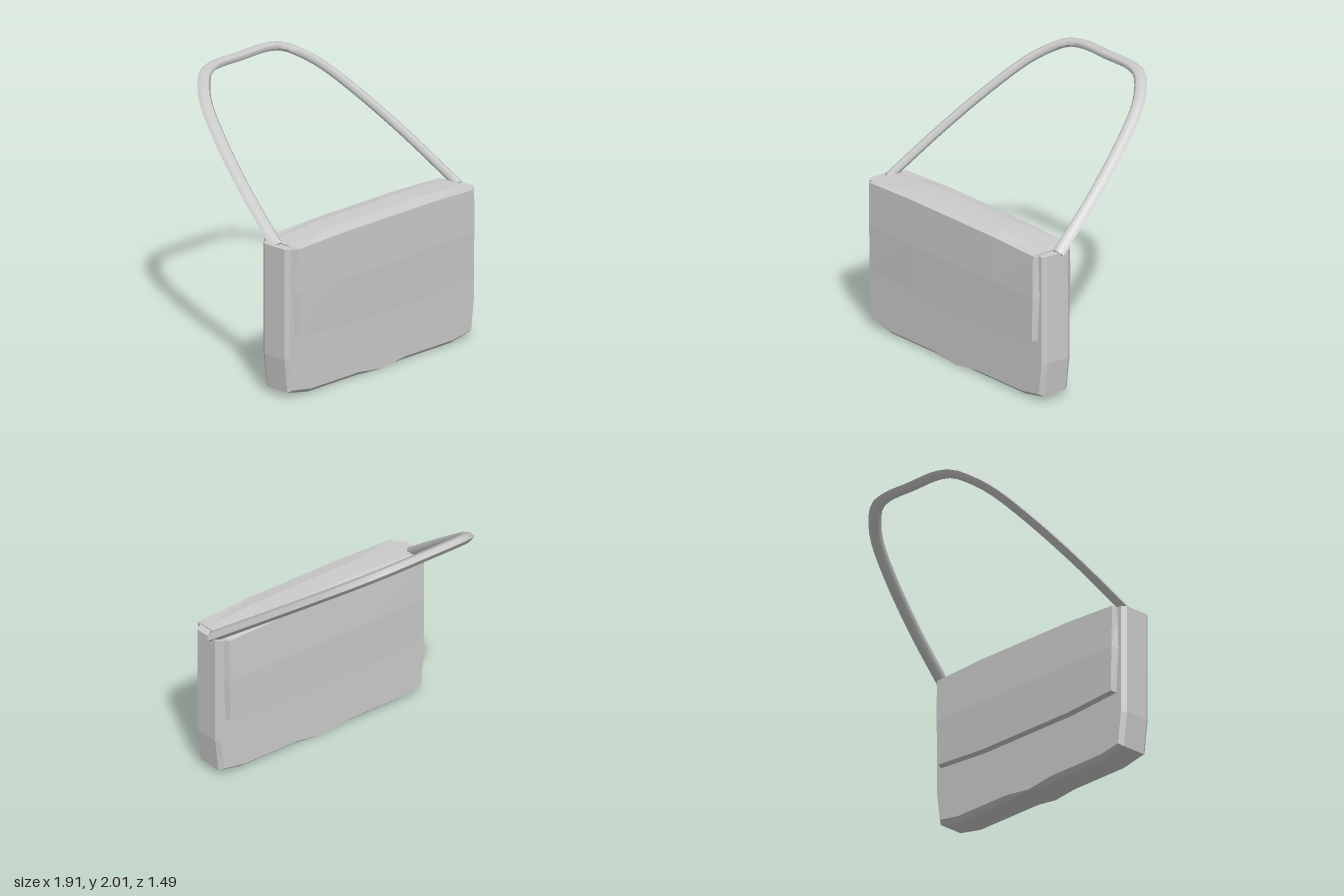
import * as THREE from 'three';
import { toCreasedNormals } from 'three/addons/utils/BufferGeometryUtils.js';

// Skins a row of equal closed rings and caps both ends; each cap zigzags between
// corner i and corner n-1-i, which suits mirrored outlines and U shapes alike.
function loft(rings) {
  const tris = [];
  const n = rings[0].length;
  const quad = (a, b, c, d) => tris.push(a, b, c, a, c, d);
  for (let k = 0; k < rings.length - 1; k++) {
    for (let i = 0; i < n; i++) {
      const j = (i + 1) % n;
      quad(rings[k][i], rings[k][j], rings[k + 1][j], rings[k + 1][i]);
    }
  }
  const first = rings[0], last = rings[rings.length - 1];
  for (let i = 0; i + 1 <= n - 2 - i; i++) {
    const m = n - 1 - i;
    quad(first[m], first[m - 1], first[i + 1], first[i]);
    quad(last[i], last[i + 1], last[m - 1], last[m]);
  }
  if (n % 2) {
    const h = (n - 1) / 2;
    tris.push(first[h + 1], first[h], first[h - 1], last[h - 1], last[h], last[h + 1]);
  }
  // Turn the faces outward if the enclosed volume comes out negative
  let volume = 0;
  for (let i = 0; i < tris.length; i += 3) {
    volume += tris[i].dot(new THREE.Vector3().crossVectors(tris[i + 1], tris[i + 2]));
  }
  if (volume < 0) tris.reverse();
  const geometry = new THREE.BufferGeometry().setFromPoints(tris);
  geometry.computeVertexNormals();
  return geometry;
}

// Bag body: mirrored outline stacked along z, with a bevelled rim front and back
function bodyGeometry() {
  const outer = [[0.945, 1.115], [0.945, 0.3], [0.915, 0.045], [0.715, 0.005], [0.23, 0.005], [0, 0.005]];
  const rim = [[0.92, 1.115], [0.92, 0.3], [0.89, 0.065], [0.71, 0.035], [0.23, 0.035], [0, 0.005]];
  const ring = (half, z) => [
    ...half.map(([x, y]) => new THREE.Vector3(-x, y, z)),
    ...half.slice(0, -1).reverse().map(([x, y]) => new THREE.Vector3(x, y, z)),
  ];
  return loft([ring(rim, 0.43), ring(outer, 0.465), ring(outer, 0.658), ring(rim, 0.69)]);
}

// Flap: an inverted U section run along x, lower and shorter at both ends
function flapGeometry() {
  // y, z, change of y and z toward the ends, x of the end
  const outside = [
    [0.44, 0.732, 0.03, -0.002, 0.862], [0.8, 0.745, 0, -0.008, 0.875],
    [1.135, 0.738, -0.015, -0.005, 0.875], [1.155, 0.63, -0.03, 0, 0.88],
    [1.155, 0.48, -0.03, 0, 0.88], [1.135, 0.385, -0.015, 0.005, 0.875],
    [0.8, 0.375, 0, 0.008, 0.875], [0.44, 0.388, 0.03, 0.002, 0.862],
  ];
  const inside = [
    [0.427, 0.68, 0.03, 0, 0.88], [0.8, 0.68, 0, 0, 0.9], [1.1, 0.68, 0, 0, 0.89], [1.1, 0.63, 0, 0, 0.88],
    [1.1, 0.48, 0, 0, 0.88], [1.1, 0.44, 0, 0, 0.89], [0.8, 0.44, 0, 0, 0.9], [0.427, 0.44, 0.03, 0, 0.88],
  ];
  const section = [...outside, ...inside.reverse()];
  const stations = [[-1, 1], [-0.5, 0], [0.5, 0], [1, 1]];
  return loft(stations.map(([s, end]) => section.map(([y, z, dy, dz, x]) =>
    new THREE.Vector3(s * x, y + dy * end, z + dz * end))));
}

// Strap: a rounded wedge section swept along an arch that leans backward
function strapGeometry() {
  const half = [[0.905, 1.1], [0.8, 1.41], [0.68, 1.665], [0.575, 1.825], [0.475, 1.91], [0.375, 1.962], [0.25, 1.98]];
  const arch = [...half.map(([x, y]) => [-x, y]), [0, 1.98], ...half.slice().reverse()];
  const curve = new THREE.CatmullRomCurve3(arch.map(([x, y]) =>
    new THREE.Vector3(x, y, 0.54 - (y - 1.1) * 1.4)));
  const profile = [[-0.01, 0.038], [0.027, 0.02], [0.048, -0.016], [0.004, -0.038], [-0.025, -0.02], [-0.037, 0.015]];
  const normal = new THREE.Vector3(0, 1.4, 1).normalize();
  const rings = [];
  const steps = 56;
  for (let i = 0; i <= steps; i++) {
    const centre = curve.getPointAt(i / steps);
    const outward = new THREE.Vector3().crossVectors(normal, curve.getTangentAt(i / steps)).normalize();
    rings.push(profile.map(([a, b]) => centre.clone().addScaledVector(outward, a).addScaledVector(normal, b)));
  }
  return toCreasedNormals(loft(rings), 1.2);
}

export function createModel() {
  const model = new THREE.Group();
  model.name = 'shoulderBag';
  const faceted = new THREE.MeshStandardMaterial({ color: 0xcccccc, flatShading: true });
  const smooth = new THREE.MeshStandardMaterial({ color: 0xcccccc });
  const add = (name, geometry, material, x = 0) => {
    const mesh = new THREE.Mesh(geometry, material);
    mesh.name = name;
    mesh.position.x = x;
    model.add(mesh);
  };
  add('bagBody', bodyGeometry(), faceted, -0.012);
  add('flap', flapGeometry(), faceted, -0.01);
  add('shoulderStrap', strapGeometry(), smooth);
  return model;
}
